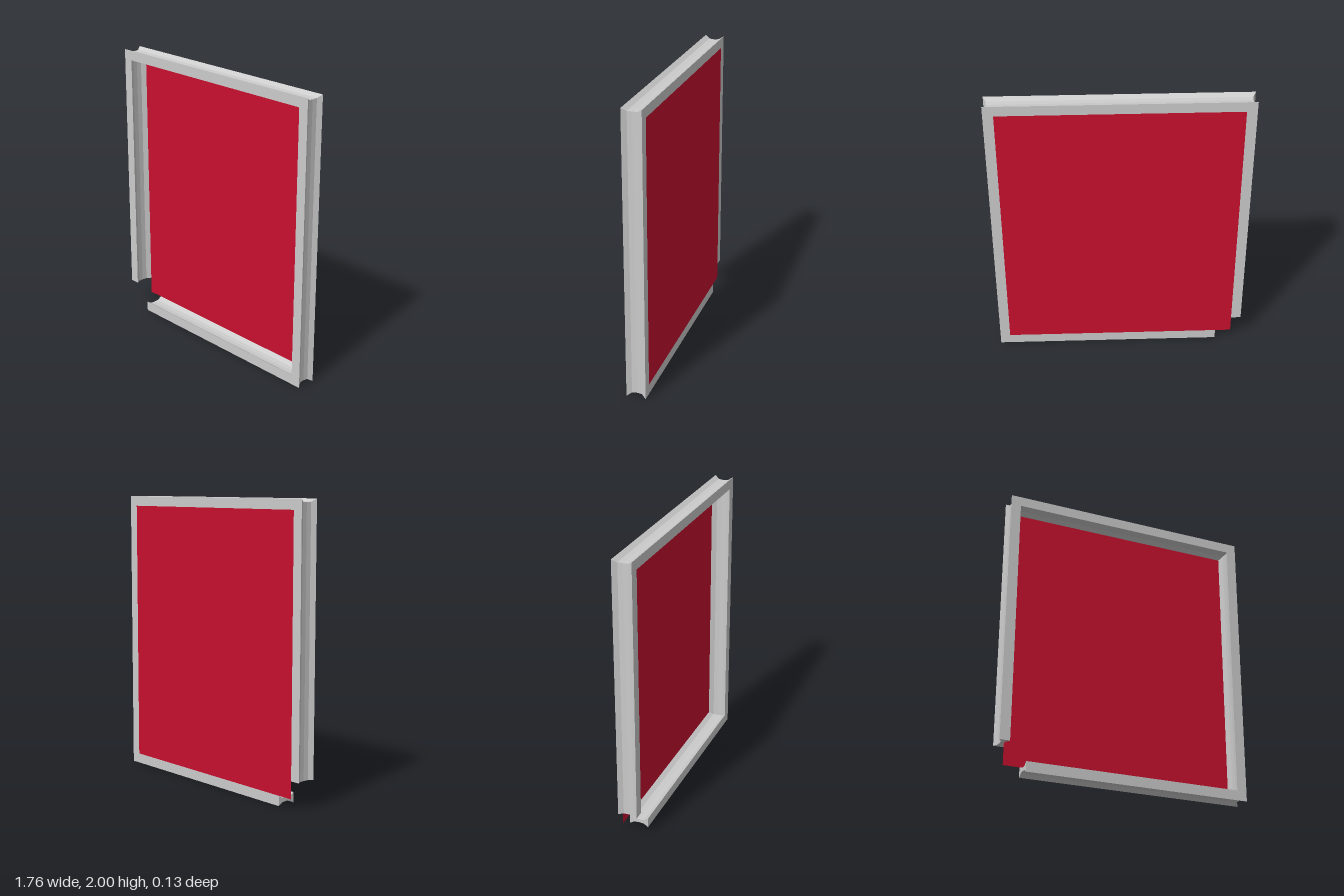
import * as THREE from 'three';

const W = 0.882, H = 2, D = 0.067, RAIL = 0.07;

// Rail cross-section as [inset from the outer edge, z], hollowed on both sides
const SECTION = [
  [0, -D], [RAIL, -D],
  [RAIL - 0.02, -0.035], [RAIL - 0.023, 0], [RAIL - 0.02, 0.035],
  [RAIL, D], [0, D],
  [0.02, 0.035], [0.023, 0], [0.02, -0.035],
];

// Stations along the rail: outer point and the direction in which it insets (mitred corners)
const STATIONS = [
  { p: [-W, 0.19], n: [1, 0] },
  { p: [-W, H], n: [1, -1] },
  { p: [W, H], n: [-1, -1] },
  { p: [W, 0], n: [-1, 1] },
  { p: [-0.7, 0], n: [0, 1] },
];

function frameGeometry() {
  const rings = STATIONS.map(({ p, n }) =>
    SECTION.map(([d, z]) => [p[0] + n[0] * d, p[1] + n[1] * d, z]));
  const pos = [];
  const tri = (a, b, c) => pos.push(...a, ...b, ...c);
  const count = SECTION.length;

  // Sides of the four rails
  for (let i = 0; i < rings.length - 1; i++) {
    for (let j = 0; j < count; j++) {
      const k = (j + 1) % count;
      const a = rings[i][j], b = rings[i][k];
      const c = rings[i + 1][j], d = rings[i + 1][k];
      tri(a, c, d);
      tri(a, d, b);
    }
  }

  // Caps on the two cut ends beside the open corner
  const contour = SECTION.map(([d, z]) => new THREE.Vector2(d, z));
  const first = rings[0], last = rings[rings.length - 1];
  for (const [a, b, c] of THREE.ShapeUtils.triangulateShape(contour, [])) {
    tri(first[a], first[b], first[c]);
    tri(last[a], last[c], last[b]);
  }

  const geometry = new THREE.BufferGeometry();
  geometry.setAttribute('position', new THREE.Float32BufferAttribute(pos, 3));
  geometry.computeVertexNormals();
  return geometry;
}

export function createModel() {
  const group = new THREE.Group();
  group.name = 'framedPanel';

  const frame = new THREE.Mesh(frameGeometry(),
    new THREE.MeshStandardMaterial({ color: 0xcccccc, flatShading: true }));
  frame.name = 'frame';
  group.add(frame);

  // Thin sheet flush with the back of the frame
  const panel = new THREE.Mesh(
    new THREE.PlaneGeometry(2 * (W - RAIL), H - 2 * RAIL),
    new THREE.MeshStandardMaterial({ color: 0xc8102e, side: THREE.DoubleSide }));
  panel.name = 'backPanel';
  panel.position.set(0, H / 2, -D);
  group.add(panel);

  return group;
}
